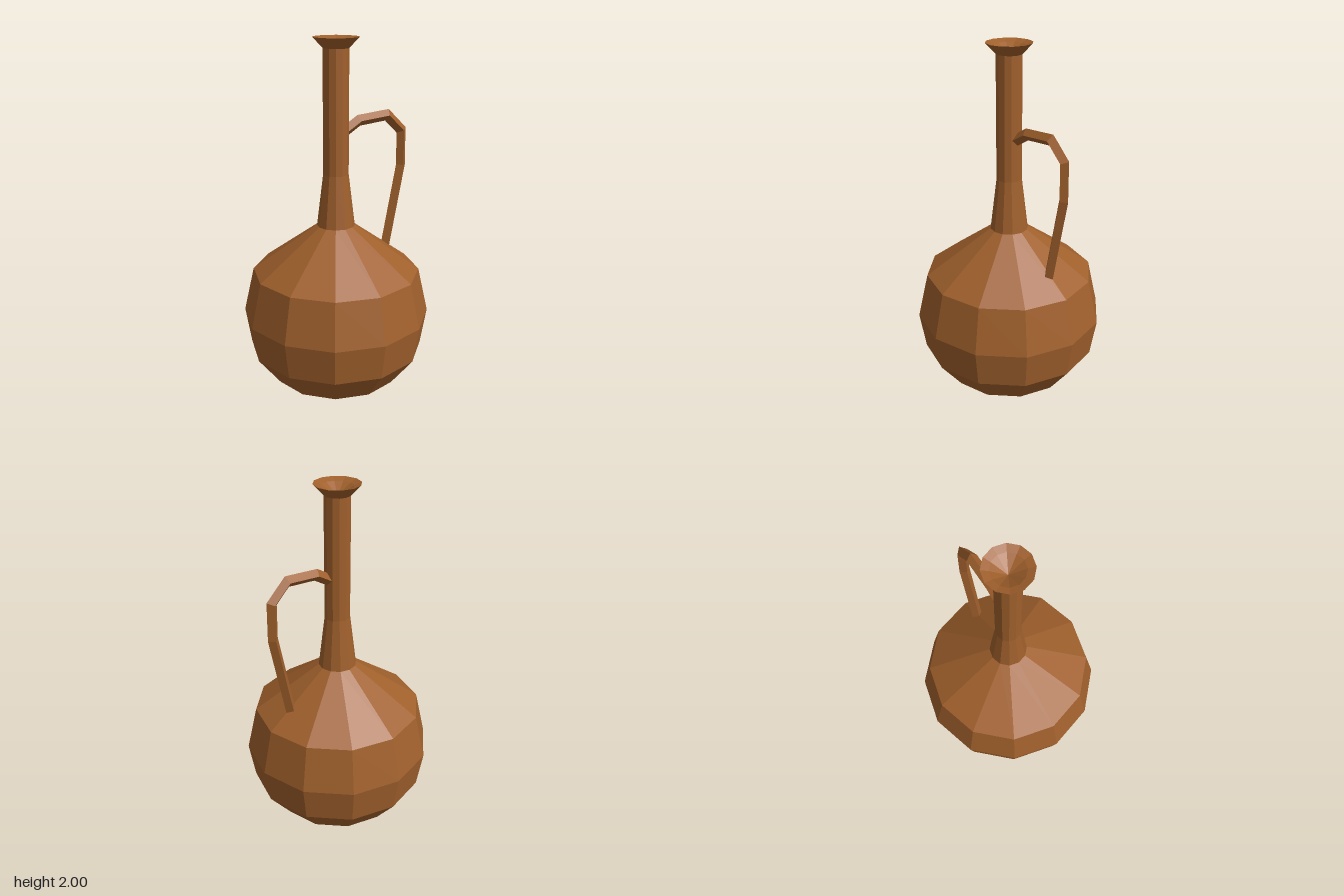
import * as THREE from 'three';

const clay = new THREE.MeshStandardMaterial({ color: 0xa0602c, flatShading: true });

// Turned part with twelve flat sides
function turned(name, profile) {
  const points = profile.map(([r, y]) => new THREE.Vector2(r, y));
  const mesh = new THREE.Mesh(new THREE.LatheGeometry(points, 12), clay);
  mesh.name = name;
  return mesh;
}

// Diamond-section bar along a path in the xy plane, with mitred corners
function diamondBar(name, path, radius) {
  const pts = path.map(([x, y]) => new THREE.Vector2(x, y));
  const positions = [];
  const index = [];
  const last = pts.length - 1;
  pts.forEach((p, i) => {
    const before = p.clone().sub(pts[Math.max(i - 1, 0)]).normalize();
    const after = pts[Math.min(i + 1, last)].clone().sub(p).normalize();
    const dir = before.clone().add(after).normalize();
    const ref = i < last ? after : before;
    const miter = radius / dir.dot(ref);
    const nx = -dir.y * miter;
    const ny = dir.x * miter;
    positions.push(
      p.x + nx, p.y + ny, 0,
      p.x, p.y, radius,
      p.x - nx, p.y - ny, 0,
      p.x, p.y, -radius
    );
    if (i === last) return;
    for (let k = 0; k < 4; k++) {
      const a = i * 4 + k;
      const b = i * 4 + (k + 1) % 4;
      index.push(a, b, a + 4, b, b + 4, a + 4);
    }
  });
  // End caps
  const e = last * 4;
  index.push(0, 2, 1, 0, 3, 2, e, e + 1, e + 2, e, e + 2, e + 3);
  const geometry = new THREE.BufferGeometry();
  geometry.setAttribute('position', new THREE.Float32BufferAttribute(positions, 3));
  geometry.setIndex(index);
  geometry.computeVertexNormals();
  const mesh = new THREE.Mesh(geometry, clay);
  mesh.name = name;
  return mesh;
}

export function createModel() {
  const jug = new THREE.Group();
  jug.name = 'jug';

  // Round belly with a flat base and sloping shoulder
  jug.add(turned('belly', [[0, 0], [0.38, 0], [0.515, 0.175], [0.55, 0.39], [0.49, 0.655], [0.11, 0.93]]));

  // Tall neck, flared at the foot
  jug.add(turned('neck', [[0.11, 0.93], [0.073, 1.235], [0.073, 1.94]]));

  // Flared lip with a shallow funnel mouth
  jug.add(turned('lip', [[0.073, 1.94], [0.13, 2], [0.09, 1.985], [0, 1.93]]));

  // Bent handle from the neck down to the shoulder
  jug.add(diamondBar('handle', [
    [0.05, 1.47], [0.15, 1.53], [0.34, 1.545], [0.442, 1.447], [0.445, 1.238], [0.345, 0.74]
  ], 0.032));

  return jug;
}
